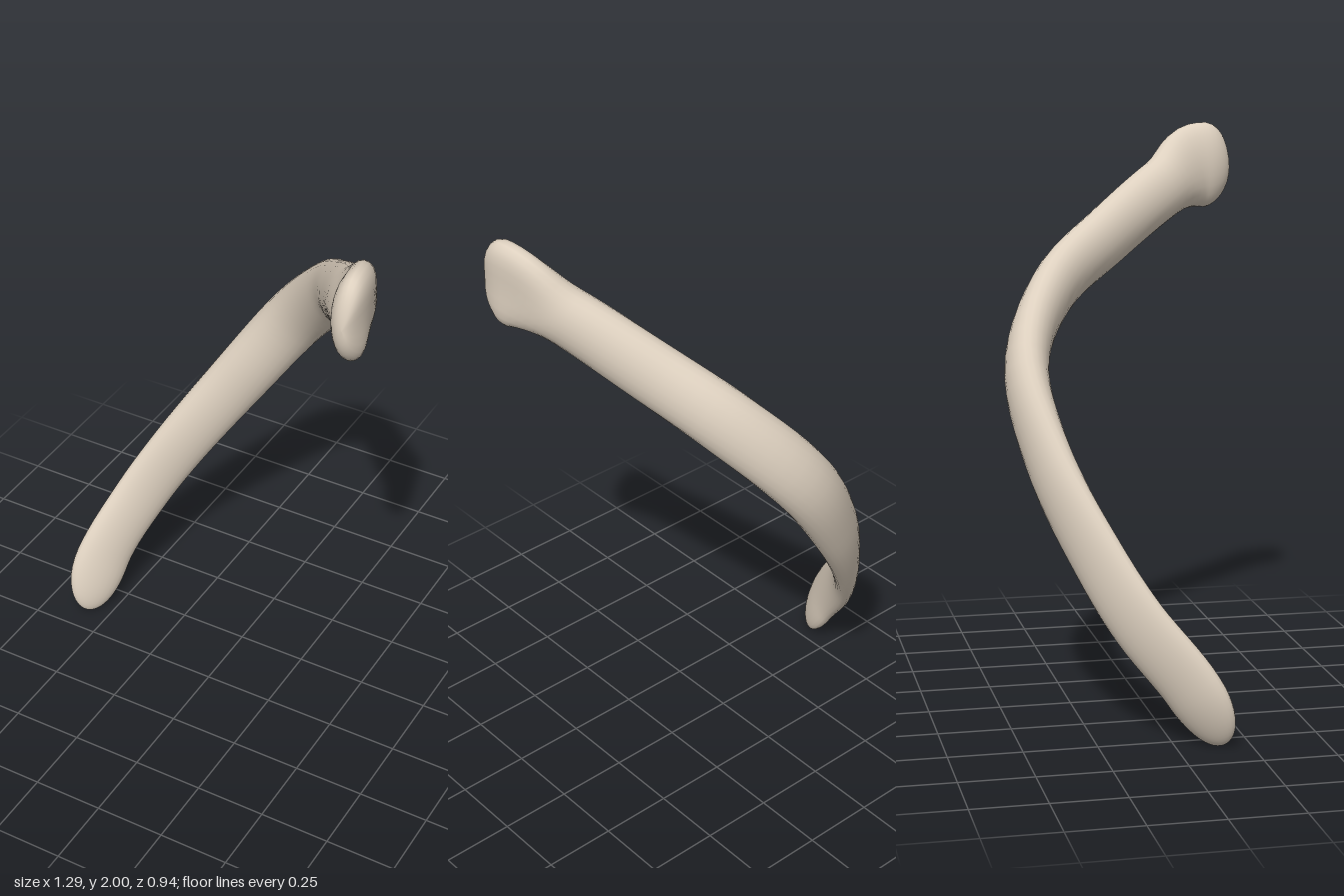
import * as THREE from 'three';

const { smoothstep, degToRad } = THREE.MathUtils;

// Centre line from the lower tip to the head
const spine = new THREE.CatmullRomCurve3([
  [-0.583, 0.003, 0.158], [-0.57, 0.2, 0.05], [-0.495, 0.41, -0.112], [-0.395, 0.6, -0.222],
  [-0.2, 0.91, -0.355], [0, 1.205, -0.395], [0.2, 1.445, -0.262], [0.35, 1.61, -0.045],
  [0.49, 1.76, 0.18], [0.585, 1.84, 0.33], [0.604, 1.848, 0.47],
].map((p) => new THREE.Vector3(...p)));

// Elliptical rounding over the last stretch before an end
const rounding = (distance, stretch) => Math.sqrt(1 - (1 - Math.min(distance / stretch, 1)) ** 2);

// Sweep a flattened oval that twists as it rises, closing to a point at both ends
function boneGeometry(sides, steps) {
  const length = spine.getLength();
  const pos = [], index = [];
  for (let i = 0; i <= steps; i++) {
    // rings crowd together towards the ends
    const u = (1 - Math.cos((i / steps) * Math.PI)) / 2;
    const centre = spine.getPointAt(u), along = spine.getTangentAt(u);
    const toEnd = (1 - u) * length;

    // the flat inner side turns from front left to right
    const turn = degToRad(41 + 133 * (centre.y / 1.85) ** 2.33);
    const wide = along.clone().cross(new THREE.Vector3(Math.cos(turn), 0, Math.sin(turn))).normalize();
    const thin = wide.clone().cross(along);

    // thin blade below, fuller shaft above, broad head at the top
    const head = 1 - smoothstep(toEnd, 0.12, 0.32);
    const round = rounding(u * length, 0.2) * rounding(toEnd, 0.1);
    const halfWidth = (0.111 + 0.045 * head) * round;
    const halfThickness = (0.045 + 0.032 * smoothstep(centre.y, 0.4, 1.3) - 0.011 * head) * round;

    for (let j = 0; j < sides; j++) {
      const angle = (j / sides) * Math.PI * 2;
      const cos = Math.cos(angle);
      // hollow in the joint face of the head
      const hollow = cos < 0 ? 0.025 * head * round * cos ** 4 : 0;
      const p = centre.clone()
        .addScaledVector(thin, halfThickness * cos + hollow)
        .addScaledVector(wide, halfWidth * Math.sin(angle));
      pos.push(p.x, p.y, p.z);
      if (i < steps) {
        const a = i * sides + j, b = i * sides + ((j + 1) % sides);
        index.push(a, b, a + sides, b, b + sides, a + sides);
      }
    }
  }
  const geometry = new THREE.BufferGeometry();
  geometry.setAttribute('position', new THREE.Float32BufferAttribute(pos, 3));
  geometry.setIndex(index);
  geometry.computeVertexNormals();
  return geometry;
}

export function createModel() {
  const group = new THREE.Group();
  group.name = 'ribBone';
  const bone = new THREE.Mesh(
    boneGeometry(24, 72),
    new THREE.MeshStandardMaterial({ color: 0xddd0bf }));
  bone.name = 'ribShaftAndHead';
  group.add(bone);
  return group;
}
